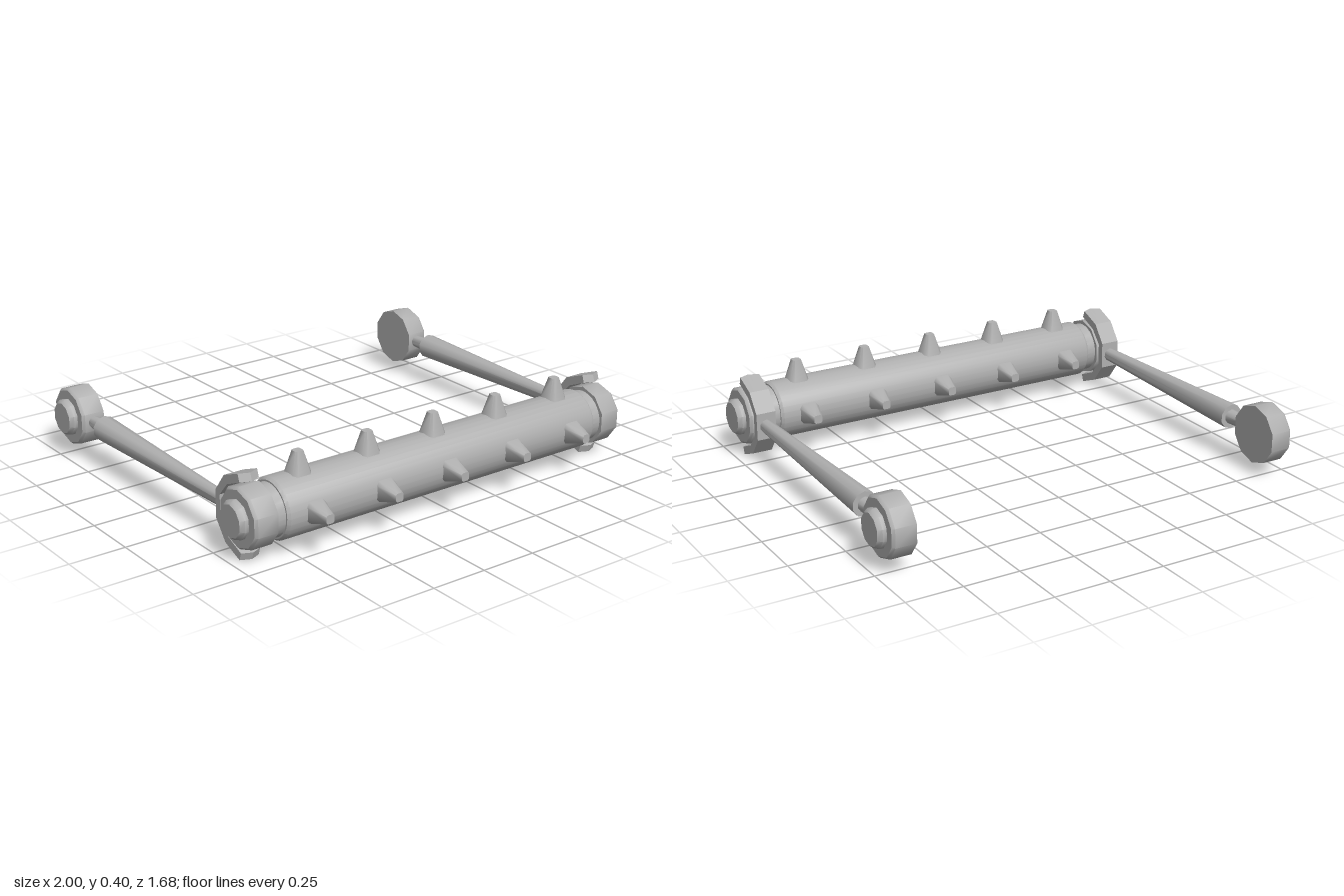
import * as THREE from 'three';
import { toCreasedNormals } from 'three/addons/utils/BufferGeometryUtils.js';

const CY = 0.185;       // height of all axles
const ROLLER_Z = 0.625; // roller axis
const WHEEL_Z = -0.715; // rear hub axis
const ARM_X = 0.908;

// Surface of revolution about the x axis; profile holds [radius, x] pairs
function turned(profile, sides, side = 1) {
  const pts = profile.map(([r, x]) => new THREE.Vector2(r, x));
  const geo = new THREE.LatheGeometry(pts, sides, Math.PI / 2);
  geo.rotateZ(-side * Math.PI / 2);
  return toCreasedNormals(geo, 0.7);
}

// Tapered spike with a chamfered square section, pointing up from the roller axis
function spikeGeometry() {
  const geo = new THREE.CylinderGeometry(0.0205, 0.053, 0.107, 8, 1, false, Math.PI / 8);
  const p = geo.attributes.position;
  for (let i = 0; i < p.count; i++) {
    const x = p.getX(i), z = p.getZ(i);
    if (Math.abs(x) < Math.abs(z)) p.setX(i, x * 1.6);
    else p.setZ(i, z * 1.6);
  }
  geo.translate(0, 0.163, 0);
  return toCreasedNormals(geo, 0.85);
}

// Open bracket around the roller hub, with pointed jaw tips
function clawGeometry() {
  const outer = [[0.005, 0.183], [-0.107, 0.144], [-0.17, 0.061]];
  const inner = [[-0.14, 0.05], [-0.086, 0.112], [0.016, 0.15]];
  const flip = (list) => list.map(([x, y]) => [x, -y]).reverse();
  const outline = [...outer, ...flip(outer), ...flip(inner), ...inner];
  const shape = new THREE.Shape(outline.map(([x, y]) => new THREE.Vector2(x, y)));
  const geo = new THREE.ExtrudeGeometry(shape, { depth: 0.09, steps: 2, bevelEnabled: false });
  geo.translate(0, 0, -0.045);
  const p = geo.attributes.position;
  for (let i = 0; i < p.count; i++) {
    if (p.getX(i) > -0.02) p.setX(i, p.getX(i) + (Math.abs(p.getZ(i)) < 0.01 ? 0.006 : -0.014));
  }
  geo.rotateY(-Math.PI / 2);
  return toCreasedNormals(geo, 0.3);
}

export function createModel() {
  const model = new THREE.Group();
  model.name = 'spikedRollerFrame';
  const steel = new THREE.MeshStandardMaterial({ color: 0xb0b0b0 });
  steel.name = 'grey steel';

  const add = (name, geo, x, y, z) => {
    const mesh = new THREE.Mesh(geo, steel);
    mesh.name = name;
    mesh.position.set(x, y, z);
    model.add(mesh);
    return mesh;
  };

  // Roller drum with chamfered ends and narrower necks
  add('rollerDrum', turned([
    [0, -0.87], [0.113, -0.87], [0.113, -0.815], [0.12, -0.815], [0.13, -0.803],
    [0.13, 0.803], [0.12, 0.815], [0.113, 0.815], [0.113, 0.87], [0, 0.87],
  ], 32), 0, CY, ROLLER_Z);

  // Three rows of spikes: back, top and front
  const spike = spikeGeometry();
  for (const angle of [-Math.PI / 2, 0, Math.PI / 2]) {
    for (let i = -2; i <= 2; i++) {
      add('spike', spike, i * 0.34, CY, ROLLER_Z).rotation.x = angle;
    }
  }

  const claw = clawGeometry();

  // Ten-sided hub with a bevelled rim
  const hubProfile = [[0, 0.86], [0.132, 0.86], [0.132, 0.953], [0.122, 0.965], [0, 0.965]];
  // Raised axle cap
  const capProfile = [[0, 0.96], [0.083, 0.96], [0.083, 0.982], [0.07, 1], [0, 1]];
  // Arm tube and the thinner rod sliding into it, running forward from the rear
  const armProfile = [[0, -0.5], [0.056, -0.5], [0.03, 0.47], [0, 0.47]];
  const rodProfile = [[0, -0.6], [0.027, -0.6], [0.034, -0.49], [0, -0.49]];

  for (const side of [1, -1]) {
    for (const [label, z] of [['roller', ROLLER_Z], ['rear', WHEEL_Z]]) {
      add(label + 'Hub', turned(hubProfile, 10, side), 0, CY, z);
      add(label + 'Cap', turned(capProfile, 10, side), 0, CY, z);
    }
    add('claw', claw, side * ARM_X, CY, ROLLER_Z);
    add('armTube', turned(armProfile, 10).rotateY(-Math.PI / 2), side * ARM_X, CY, 0);
    add('armRod', turned(rodProfile, 10).rotateY(-Math.PI / 2), side * ARM_X, CY, 0);
  }
  return model;
}
